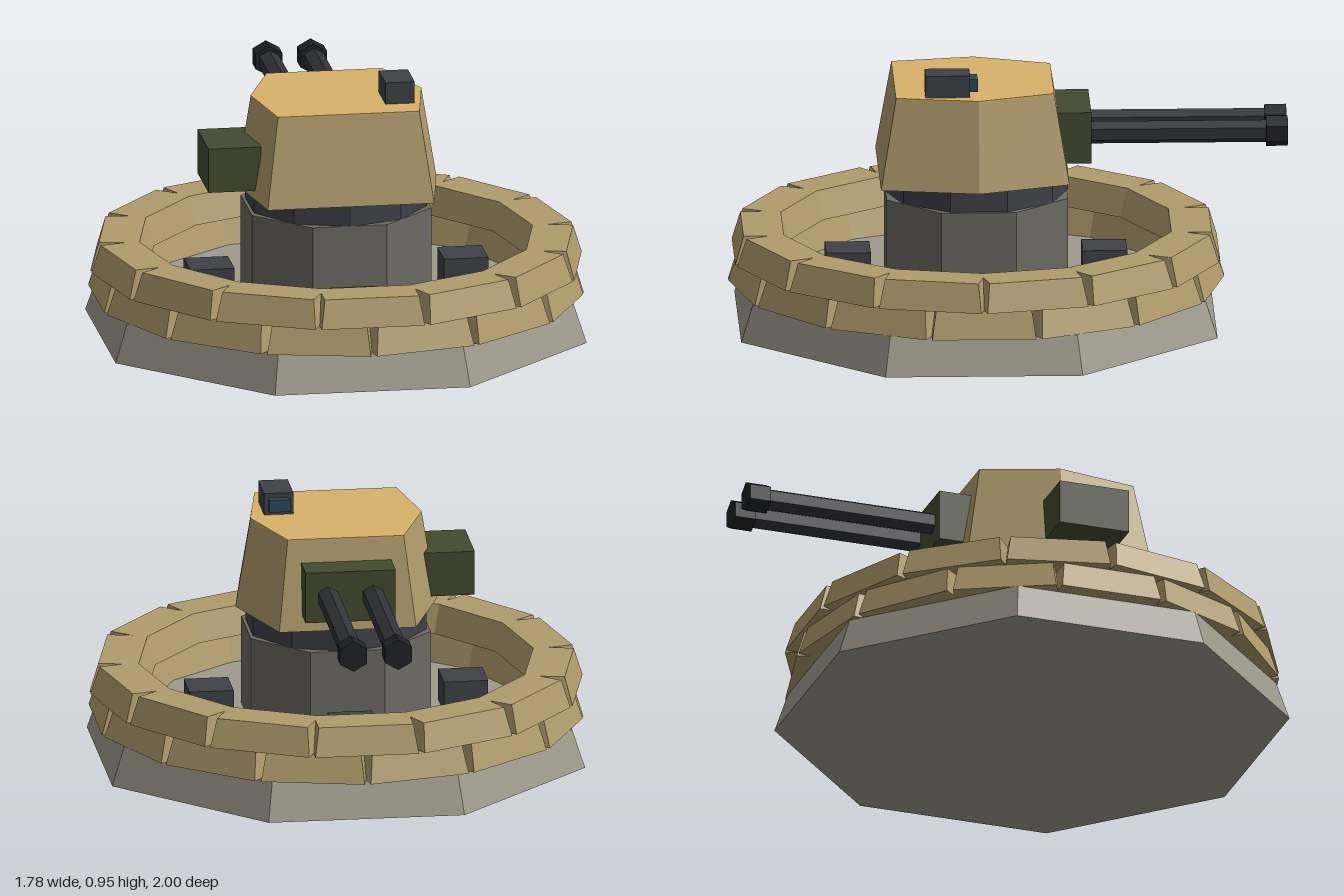
import * as THREE from 'three';

const CZ = 0.115; // z of the emplacement's centre

const mat = (color) => new THREE.MeshStandardMaterial({ color, flatShading: true });
const sand = mat(0xb09b6c), roofSand = mat(0xd9b26c), concrete = mat(0x9f9a8d), stone = mat(0x6c6a64);
const dark = mat(0x3e4147), gunmetal = mat(0x303238), black = mat(0x202124), green = mat(0x434a30), glass = mat(0x2c4a58);

// Closed solid between two outlines of [x, z] points, listed front -> +x -> back -> -x
function loft(bottom, y0, top, y1) {
  const n = bottom.length, pos = [];
  const b = bottom.map(([x, z]) => [x, y0, z]);
  const t = top.map(([x, z]) => [x, y1, z]);
  const tri = (...pts) => pts.forEach((p) => pos.push(...p));
  for (let i = 0; i < n; i++) {
    const j = (i + 1) % n;
    tri(b[i], b[j], t[j]);
    tri(b[i], t[j], t[i]);
    if (i > 0 && i < n - 1) {
      tri(t[0], t[i], t[j]);
      tri(b[0], b[j], b[i]);
    }
  }
  const g = new THREE.BufferGeometry();
  g.setAttribute('position', new THREE.Float32BufferAttribute(pos, 3));
  g.computeVertexNormals();
  return g;
}

// Outline that is symmetric in x, from [halfWidth, z] pairs running front to back
const mirrored = (half) => [...half, ...half.map(([x, z]) => [-x, z]).reverse()];

export function createModel() {
  const model = new THREE.Group();

  const add = (name, geometry, material, parent = model) => {
    const mesh = new THREE.Mesh(geometry, material);
    mesh.name = name;
    parent.add(mesh);
    return mesh;
  };
  // Box given by its limits on each axis
  const box = (name, material, [x0, x1], [y0, y1], [z0, z1], parent) =>
    add(name, new THREE.BoxGeometry(x1 - x0, y1 - y0, z1 - z0), material, parent)
      .position.set((x0 + x1) / 2, (y0 + y1) / 2, (z0 + z1) / 2);
  // Upright prism about the centre
  const prism = (name, material, rTop, rBottom, y0, y1, sides, turn = 0) => {
    const mesh = add(name, new THREE.CylinderGeometry(rTop, rBottom, y1 - y0, sides), material);
    mesh.position.set(0, (y0 + y1) / 2, CZ);
    mesh.rotation.y = turn;
  };

  // Foundation, pedestal and turning ring
  prism('foundation', concrete, 0.877, 0.925, 0, 0.14, 8, Math.PI / 8);
  prism('pedestal', stone, 0.352, 0.352, 0.14, 0.465, 8, Math.PI / 8);
  prism('turretRing', dark, 0.33, 0.33, 0.465, 0.545, 10);

  // Two staggered courses of sandbags
  const count = 14, step = (Math.PI * 2) / count;
  const bag = loft(
    mirrored([[0.187, 0.87], [0.187, 0.665]]), 0,
    mirrored([[0.171, 0.84], [0.171, 0.695]]), 0.103
  );
  [0.14, 0.242].forEach((y, course) => {
    const ring = new THREE.Group();
    ring.name = course ? 'upperSandbags' : 'lowerSandbags';
    ring.position.set(0, y, CZ);
    for (let i = 0; i < count; i++) {
      add('sandbag', bag, sand, ring).rotation.y = (i + (course ? 0 : 0.5)) * step;
    }
    model.add(ring);
  });

  // Four ammunition crates on the deck
  for (let i = 0; i < 4; i++) {
    const a = (i * Math.PI) / 2;
    add('ammoCrate', new THREE.BoxGeometry(0.16, 0.115, 0.16), dark)
      .position.set(0.46 * Math.sin(a), 0.1975, CZ + 0.46 * Math.cos(a));
  }

  // Six-sided turret house with a lighter roof
  const base = mirrored([[0.302, 0.466], [0.364, CZ], [0.247, -0.212]]);
  const top = mirrored([[0.257, 0.411], [0.31, CZ], [0.21, -0.158]]);
  add('turretHouse', loft(base, 0.545, top, 0.871), sand);
  add('turretRoof', loft(top, 0.871, top, 0.875), roofSand);

  // Side stowage box and gun mantlet
  box('stowageBox', green, [-0.493, -0.303], [0.575, 0.738], [0.05, 0.312]);
  box('mantlet', green, [-0.163, 0.163], [0.602, 0.79], [-0.293, -0.14]);

  // Roof sight with its lens facing the guns
  box('sight', dark, [0.15, 0.256], [0.875, 0.955], [0.145, 0.305]);
  box('sightLens', glass, [0.165, 0.241], [0.892, 0.938], [0.117, 0.15]);

  // Twin guns with muzzle brakes
  const tube = (name, material, x, r, z0, z1) => {
    const mesh = add(name, new THREE.CylinderGeometry(r, r, z1 - z0, 6), material);
    mesh.rotation.x = Math.PI / 2;
    mesh.position.set(x, 0.695, (z0 + z1) / 2);
  };
  for (const x of [-0.081, 0.081]) {
    tube('gunBarrel', gunmetal, x, 0.041, -0.95, -0.27);
    tube('muzzleBrake', black, x, 0.056, -1, -0.922);
  }

  return model;
}
